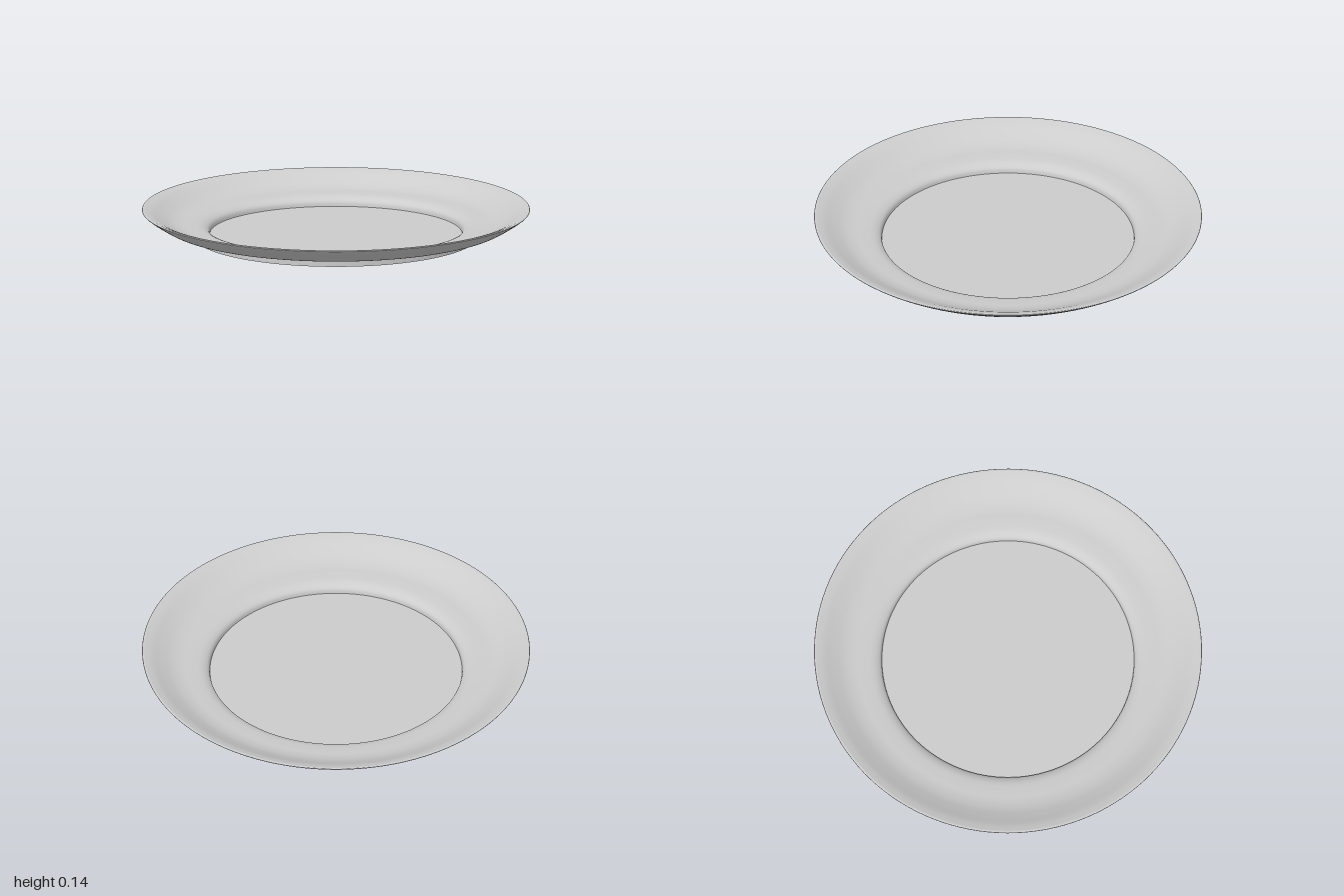
import * as THREE from 'three';

export function createModel() {
  const plate = new THREE.Group();
  plate.name = 'plate';
  const glaze = new THREE.MeshStandardMaterial({ color: 0xcccccc });
  glaze.name = 'greyGlaze';

  // Revolves a profile, running from the underside out and over the rim to the middle
  function turn(name, profile, samples = 0) {
    let points = profile.map(([r, y]) => new THREE.Vector2(r, y));
    if (samples) points = new THREE.SplineCurve(points).getPoints(samples);
    const mesh = new THREE.Mesh(new THREE.LatheGeometry(points, 128), glaze);
    mesh.name = name;
    plate.add(mesh);
  }

  // Flat base and upright foot, kept separate for crisp edges
  turn('base', [[0, 0], [0.732, 0]]);
  turn('foot', [[0.732, 0], [0.732, 0.036]]);

  // Underside, flat beside the foot, then sweeping up to the rim
  turn('underside', [
    [0.732, 0.036], [0.737, 0.043], [0.76, 0.046], [0.81, 0.048], [0.86, 0.056],
    [0.9, 0.072], [0.95, 0.102], [0.985, 0.126], [0.997, 0.135],
  ], 40);

  // Thin rounded lip
  turn('lip', [[0.997, 0.135], [1, 0.139], [0.997, 0.143], [0.988, 0.143]], 10);

  // Sloping border, level ledge and rounded step down to the well
  turn('border', [
    [0.988, 0.143], [0.95, 0.13], [0.9, 0.105], [0.85, 0.083], [0.8, 0.071],
    [0.75, 0.067], [0.7, 0.061], [0.67, 0.049], [0.655, 0.034], [0.65, 0.013],
  ], 48);

  // Sunken flat well
  turn('well', [[0.65, 0.013], [0, 0.013]]);

  return plate;
}
